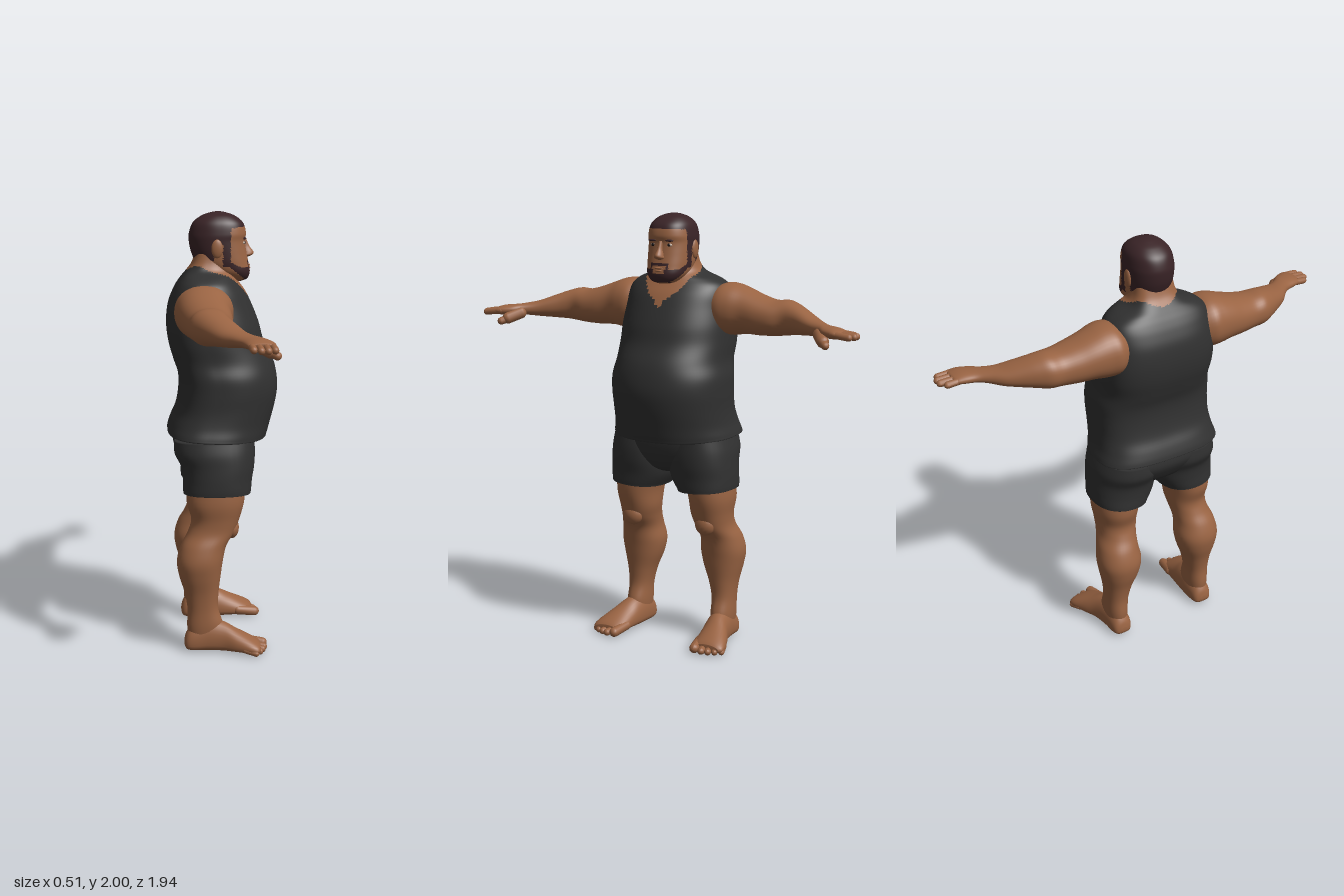
import * as THREE from 'three';

const mat = (name, color) => {
  const m = new THREE.MeshStandardMaterial({ color });
  m.name = name;
  return m;
};
const skin = mat('skin', 0x9a6443);
const cloth = mat('dark cloth', 0x313131);
const hair = mat('hair', 0x3a2427);
const white = mat('eye white', 0xb9a595);
const black = mat('pupil', 0x1a1212);

// Catmull-Rom resampling of a table of cross-section rows
function resample(rows, steps) {
  const out = [];
  const at = (i) => rows[Math.min(rows.length - 1, Math.max(0, i))];
  for (let i = 0; i < rows.length - 1; i++) {
    for (let s = 0; s < steps; s++) {
      const t = s / steps, [p, q, r, u] = [at(i - 1), at(i), at(i + 1), at(i + 2)];
      out.push(q.map((_, k) => 0.5 * (2 * q[k] + (r[k] - p[k]) * t
        + (2 * p[k] - 5 * q[k] + 4 * r[k] - u[k]) * t * t
        + (3 * q[k] - p[k] - 3 * r[k] + u[k]) * t * t * t)));
    }
  }
  out.push(at(rows.length - 1));
  return out;
}

// Smooth loft. Row: [t, aMin, aMax, bMin, bMax]; mid = place of the widest point along a;
// n = rounding exponents of the low and high side of a.
const AXES = {
  y: (t, a, b) => [a, t, b],   // a = x, b = z
  z: (t, a, b) => [a, b, t],   // a = x, b = y
  x: (t, a, b) => [t, a, b],   // a = y, b = z
};
function loft(rows, { axis = 'y', segs = 40, steps = 6, mid = 0.5, n = [2, 2], warp } = {}) {
  const R = resample(rows, steps), pos = [], idx = [];
  const put = (t, a, b) => {
    const p = AXES[axis](t, a, b);
    pos.push(...(warp ? warp(...p) : p));
  };
  for (const [t, a0, a1, b0, b1] of R) {
    const ca = a0 + (a1 - a0) * mid, cb = (b0 + b1) / 2;
    for (let j = 0; j < segs; j++) {
      const th = (j / segs) * Math.PI * 2, c = Math.cos(th), s = Math.sin(th);
      const e = 2 / (c < 0 ? n[0] : n[1]);
      put(t, ca + Math.sign(c) * Math.abs(c) ** e * (c < 0 ? ca - a0 : a1 - ca),
        cb + Math.sign(s) * Math.abs(s) ** e * (b1 - b0) / 2);
    }
  }
  for (const r of [R[0], R[R.length - 1]]) put(r[0], (r[1] + r[2]) / 2, (r[3] + r[4]) / 2);
  const last = (R.length - 1) * segs, cap = R.length * segs;
  for (let j = 0; j < segs; j++) {
    const k = (j + 1) % segs;
    for (let i = 0; i < last; i += segs) idx.push(i + j, i + segs + j, i + k, i + k, i + segs + j, i + segs + k);
    idx.push(cap, j, k, cap + 1, last + k, last + j);
  }
  return finish(pos, idx);
}

// Make an indexed geometry whose faces always point outward
function finish(pos, idx) {
  const v = (i) => new THREE.Vector3().fromArray(pos, i * 3);
  let volume = 0;
  for (let i = 0; i < idx.length; i += 3) volume += v(idx[i]).dot(v(idx[i + 1]).cross(v(idx[i + 2])));
  if (volume < 0) idx.reverse();
  const g = new THREE.BufferGeometry();
  g.setAttribute('position', new THREE.Float32BufferAttribute(pos, 3));
  g.setIndex(idx);
  g.computeVertexNormals();
  return g;
}

// Sort faces into two material groups by a rule on the face centre
function paint(g, rule) {
  const p = g.attributes.position, id = g.index.array, sets = [[], []];
  for (let i = 0; i < id.length; i += 3) {
    const f = [id[i], id[i + 1], id[i + 2]];
    const mean = (get) => f.reduce((s, k) => s + p[get](k), 0) / 3;
    sets[rule(mean('getX'), mean('getY'), mean('getZ')) ? 1 : 0].push(...f);
  }
  g.setIndex([...sets[0], ...sets[1]]);
  g.addGroup(0, sets[0].length, 0);
  g.addGroup(sets[0].length, sets[1].length, 1);
  return g;
}

const sym = (rows) => rows.map(([t, a0, a1, w]) => [t, a0, a1, -w, w]);

export function createModel() {
  const model = new THREE.Group();
  model.name = 'man';
  const add = (name, g, m) => {
    const mesh = new THREE.Mesh(g, m);
    mesh.name = name;
    model.add(mesh);
  };
  // One part on the left (+z is the model's right hand when it faces +x) and its mirror image
  const pair = (name, g, m) => {
    add(name + 'A', g, m);
    const pos = Array.from(g.attributes.position.array, (v, i) => (i % 3 === 2 ? -v : v));
    add(name + 'B', finish(pos, Array.from(g.index.array)), m);
  };
  const ball = (x, y, z, rx, ry, rz) => new THREE.SphereGeometry(1, 16, 12).scale(rx, ry, rz).translate(x, y, z);
  // Rounded finger or toe between two points
  const digit = (p, q, r) => {
    const a = new THREE.Vector3(...p), d = new THREE.Vector3(...q).sub(a);
    const g = new THREE.CapsuleGeometry(r, d.length(), 5, 12);
    g.applyQuaternion(new THREE.Quaternion().setFromUnitVectors(new THREE.Vector3(0, 1, 0), d.clone().normalize()));
    return g.translate(...a.addScaledVector(d, 0.5).toArray());
  };

  // Torso with tank top; the neck shows as skin inside the round collar and its notch
  const torso = loft(sym([
    [0.985, -0.2, 0.15, 0.24], [0.985, -0.248, 0.197, 0.296], [1.0, -0.252, 0.207, 0.3], [1.05, -0.238, 0.222, 0.287],
    [1.12, -0.212, 0.242, 0.28], [1.2, -0.2, 0.255, 0.281], [1.27, -0.203, 0.25, 0.28], [1.34, -0.225, 0.231, 0.266],
    [1.42, -0.247, 0.19, 0.268], [1.5, -0.255, 0.168, 0.266], [1.58, -0.247, 0.137, 0.255], [1.64, -0.225, 0.108, 0.247],
    [1.68, -0.203, 0.08, 0.23], [1.708, -0.183, 0.06, 0.19], [1.735, -0.163, 0.05, 0.125], [1.77, -0.138, 0.045, 0.1],
    [1.82, -0.12, 0.04, 0.09]]),
  { segs: 96, steps: 5, mid: 0.42, n: [2.9, 2.15], warp: (x, y, z) => [x, y < 1.1 ? y - x * 0.5 * (1.1 - y) : y, z] });
  add('torso', paint(torso, (x, y, z) => {
    const collar = ((x + 0.02) / 0.142) ** 2 + (z / 0.122) ** 2 < 1;
    const notch = x > 0 && Math.abs(z) < 0.03 * (y - 1.575) / 0.05;
    return y > 1.5 && (collar || notch);
  }), [cloth, skin]);

  // Shorts
  add('shortsSeat', loft(sym([
    [0.815, -0.1, 0.06, 0.05], [0.84, -0.16, 0.1, 0.17], [0.89, -0.2, 0.13, 0.275], [0.95, -0.228, 0.145, 0.29],
    [1.02, -0.22, 0.15, 0.27]]), { n: [2.5, 2.5], segs: 48 }), cloth);
  pair('shortsLeg', loft([
    [0.76, -0.13, 0.07, 0.09, 0.25], [0.738, -0.18, 0.115, 0.05, 0.302], [0.745, -0.187, 0.122, 0.042, 0.31],
    [0.8, -0.188, 0.128, 0.012, 0.311], [0.86, -0.197, 0.138, 0.0, 0.308], [0.92, -0.225, 0.142, 0, 0.303],
    [0.98, -0.225, 0.14, 0.02, 0.288]], { n: [2.3, 2.3], warp: (x, y, z) => [x, y + 0.06 * (z - 0.15), z] }), cloth);

  // Legs, feet and toes
  pair('leg', loft([
    [0.05, -0.165, -0.02, 0.185, 0.275], [0.12, -0.174, -0.008, 0.178, 0.282], [0.2, -0.172, -0.03, 0.174, 0.283],
    [0.28, -0.186, -0.028, 0.155, 0.292], [0.36, -0.21, -0.018, 0.125, 0.31], [0.43, -0.219, -0.008, 0.112, 0.32],
    [0.5, -0.2, 0.008, 0.12, 0.308], [0.56, -0.168, 0.045, 0.113, 0.288], [0.62, -0.152, 0.068, 0.1, 0.287],
    [0.7, -0.172, 0.09, 0.092, 0.297], [0.8, -0.17, 0.1, 0.07, 0.29]], { n: [2.2, 2.2], steps: 5 }), skin);
  pair('kneecap', ball(0.032, 0.575, 0.195, 0.035, 0.05, 0.05), skin);
  pair('foot', loft([
    [-0.187, 0.03, 0.05, 0.215, 0.245], [-0.178, 0.012, 0.085, 0.192, 0.268], [-0.15, 0.004, 0.12, 0.18, 0.28],
    [-0.08, 0.004, 0.15, 0.175, 0.287], [-0.01, 0.005, 0.138, 0.178, 0.3], [0.05, 0.006, 0.108, 0.184, 0.325],
    [0.11, 0.006, 0.078, 0.19, 0.347], [0.145, 0.008, 0.058, 0.197, 0.35], [0.16, 0.015, 0.045, 0.21, 0.335]],
  { axis: 'x', mid: 0.35, n: [3, 2], segs: 32 }), skin);
  for (let i = 0; i < 5; i++) {
    const z = [0.212, 0.25, 0.28, 0.309, 0.335][i], r = i ? 0.018 - i * 0.001 : 0.023;
    const tip = [0.174, 0.178, 0.17, 0.157, 0.138][i];
    pair('toe' + i, digit([0.09, r + 0.012, z - 0.008], [tip, r, z + 0.006], r), skin);
  }

  // Arms sweep forward toward the hands; palms face down
  pair('arm', loft([
    [0.19, -0.2, 0.02, 1.47, 1.67], [0.24, -0.224, 0.036, 1.458, 1.69], [0.29, -0.218, 0.034, 1.455, 1.688],
    [0.35, -0.207, 0.023, 1.463, 1.668], [0.42, -0.19, 0.024, 1.462, 1.643], [0.49, -0.173, 0.02, 1.465, 1.626],
    [0.55, -0.168, 0.008, 1.47, 1.628], [0.6, -0.143, 0.018, 1.478, 1.615], [0.66, -0.103, 0.044, 1.484, 1.592],
    [0.72, -0.058, 0.072, 1.49, 1.568], [0.77, -0.006, 0.102, 1.497, 1.556], [0.81, 0.026, 0.14, 1.497, 1.55],
    [0.86, 0.043, 0.165, 1.497, 1.546], [0.89, 0.054, 0.165, 1.502, 1.538], [0.9, 0.07, 0.155, 1.508, 1.532]],
  { axis: 'z', n: [2.2, 2.2], steps: 5 }), skin);
  for (let i = 0; i < 4; i++) {
    const x = 0.066 + i * 0.028, tip = [0.93, 0.952, 0.953, 0.94][i];
    pair('finger' + i, digit([x, 1.521, 0.86], [x + 0.006, 1.513, tip], 0.0155), skin);
  }
  pair('thumbBase', digit([0.1, 1.51, 0.78], [0.15, 1.488, 0.82], 0.027), skin);
  pair('thumb', digit([0.145, 1.488, 0.815], [0.174, 1.475, 0.842], 0.018), skin);

  // Head with cropped hair, sideburns, beard and moustache
  const head = loft(sym([
    [1.688, 0.04, 0.09, 0.03], [1.7, 0.0, 0.116, 0.062], [1.73, -0.06, 0.127, 0.089], [1.77, -0.115, 0.121, 0.1],
    [1.82, -0.14, 0.111, 0.104], [1.87, -0.15, 0.104, 0.105], [1.905, -0.149, 0.109, 0.104], [1.95, -0.132, 0.096, 0.094],
    [1.98, -0.095, 0.06, 0.068], [1.995, -0.055, 0.02, 0.035], [2.0, -0.03, -0.005, 0.01]]),
  { segs: 96, steps: 8, n: [2.15, 2.4] });
  add('head', paint(head, (x, y, z) => {
    const w = Math.abs(z);
    const cap = y > 1.935 - 0.15 * Math.max(0, w - 0.06) || (x < 0.035 && y > 1.855) || (x < -0.04 && y > 1.785);
    const sideburn = x > 0.0 && x < 0.035 && y > 1.76;
    const beard = x > 0.0 && y < 1.753 + 0.5 * Math.max(0, 0.085 - x) && y > 1.775 - (x - 0.01) * 0.85;
    const lips = w < 0.028 && y > 1.735 && x > 0.08;
    const moustache = x > 0.08 && w < 0.046 && y < 1.783 && (y > 1.77 || w > 0.036);
    return cap || sideburn || moustache || (beard && !lips);
  }), [skin, hair]);
  add('nose', loft(sym([
    [1.795, 0.08, 0.115, 0.012], [1.804, 0.08, 0.138, 0.023], [1.818, 0.08, 0.144, 0.02],
    [1.845, 0.08, 0.125, 0.012], [1.88, 0.08, 0.11, 0.01]]), { segs: 24 }), skin);
  add('upperLip', ball(0.116, 1.759, 0, 0.013, 0.006, 0.026), skin);
  add('lowerLip', ball(0.116, 1.747, 0, 0.014, 0.007, 0.022), skin);
  pair('ear', ball(-0.027, 1.84, 0.104, 0.026, 0.042, 0.012).rotateZ(0), skin);
  pair('eye', ball(0.094, 1.862, 0.041, 0.009, 0.008, 0.014), white);
  pair('pupil', ball(0.099, 1.862, 0.041, 0.006, 0.007, 0.008), black);
  pair('brow', ball(0.1, 1.882, 0.043, 0.008, 0.005, 0.022), hair);

  return model;
}
